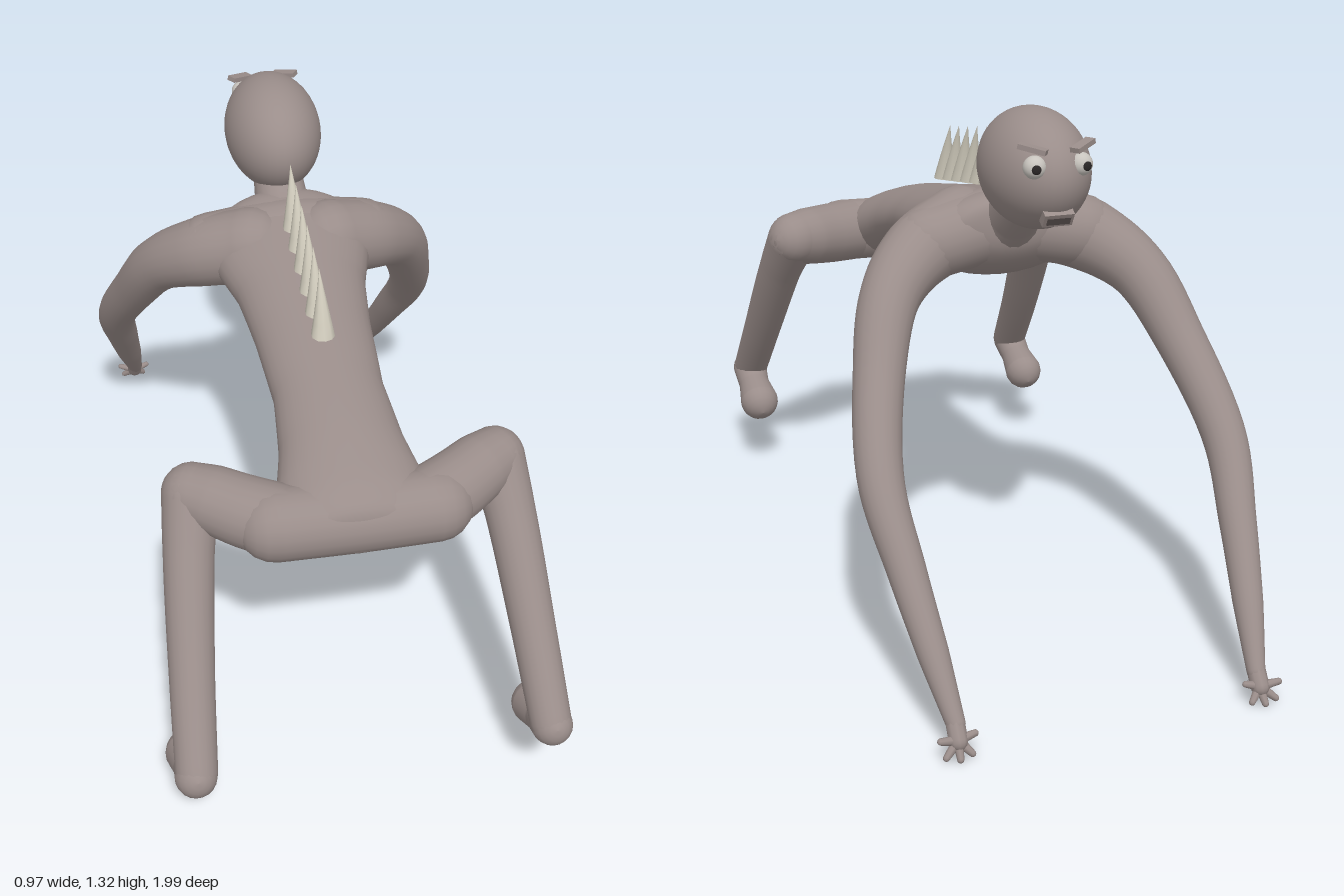
import * as THREE from 'three';

const material = (name, color) => new THREE.MeshStandardMaterial({ name, color });

// Skin through rings: each ring is { c: centre, u, v: radius vectors }, u x v points along the path
function loft(rings, n = 24) {
  const pos = [], idx = [];
  const p = new THREE.Vector3();
  rings.forEach(({ c, u, v }) => {
    for (let j = 0; j < n; j++) {
      const a = (j / n) * Math.PI * 2;
      p.copy(c).addScaledVector(u, Math.cos(a)).addScaledVector(v, Math.sin(a));
      pos.push(p.x, p.y, p.z);
    }
  });
  for (let i = 0; i < rings.length - 1; i++) {
    for (let j = 0; j < n; j++) {
      const a = i * n + j, b = i * n + ((j + 1) % n);
      idx.push(a, b, a + n, b, b + n, a + n);
    }
  }
  const g = new THREE.BufferGeometry();
  g.setAttribute('position', new THREE.Float32BufferAttribute(pos, 3));
  g.setIndex(idx);
  g.computeVertexNormals();
  return g;
}

// Round tapering limb through [x, y, z, radius] points, with domed ends
function limb(points, side = 1, steps = 32, n = 20) {
  const curve = new THREE.CatmullRomCurve3(points.map(([x, y, z]) => new THREE.Vector3(x * side, y, z)), false, 'centripetal');
  const last = points.length - 1;
  const ts = [], cs = [];
  for (let i = 0; i <= steps; i++) {
    cs.push(curve.getPoint(i / steps));
    ts.push(curve.getTangent(i / steps));
  }
  const rings = [];
  let normal = new THREE.Vector3(0.31, 0.2, 0.93);
  const add = (c, t, r) => {
    normal = normal.clone().addScaledVector(t, -normal.dot(t)).normalize();
    const v = new THREE.Vector3().crossVectors(t, normal);
    rings.push({ c, u: normal.clone().multiplyScalar(r), v: v.multiplyScalar(r) });
  };
  const dome = (c, t, r, from, to) => {
    for (let k = 0; k <= 5; k++) {
      const a = (from + (to - from) * (k / 5)) * Math.PI / 2;
      add(c.clone().addScaledVector(t, r * Math.sin(a)), t, Math.max(r * Math.cos(a), r * 0.002));
    }
  };
  dome(cs[0], ts[0], points[0][3], -1, 0);
  for (let i = 1; i < steps; i++) {
    const f = (i / steps) * last, k = Math.min(Math.floor(f), last - 1);
    add(cs[i], ts[i], THREE.MathUtils.lerp(points[k][3], points[k + 1][3], f - k));
  }
  dome(cs[steps], ts[steps], points[last][3], 0, 1);
  return loft(rings, n);
}

// Torso from elliptical sections [z, bottom, top, half width]
function torsoGeometry() {
  const sections = [
    [0.745, 0.74, 0.78, 0.03], [0.73, 0.70, 0.83, 0.14], [0.68, 0.675, 0.865, 0.18], [0.6, 0.685, 0.895, 0.175],
    [0.5, 0.73, 0.925, 0.15], [0.35, 0.785, 0.96, 0.135], [0.15, 0.82, 1.005, 0.147], [0, 0.84, 1.04, 0.165],
    [-0.1, 0.847, 1.062, 0.195], [-0.19, 0.855, 1.08, 0.215], [-0.25, 0.89, 1.085, 0.19], [-0.29, 0.94, 1.07, 0.13], [-0.305, 0.99, 1.02, 0.01],
  ];
  const shape = new THREE.CatmullRomCurve3(sections.map(([z, b, t]) => new THREE.Vector3(z, b, t)), false, 'centripetal');
  const rings = [];
  const steps = 48, last = sections.length - 1;
  for (let i = 0; i <= steps; i++) {
    const q = shape.getPoint(i / steps);
    const f = (i / steps) * last, k = Math.min(Math.floor(f), last - 1);
    const w = THREE.MathUtils.lerp(sections[k][3], sections[k + 1][3], f - k);
    rings.push({
      c: new THREE.Vector3(0, (q.y + q.z) / 2, q.x),
      u: new THREE.Vector3(w, 0, 0),
      v: new THREE.Vector3(0, -(q.z - q.y) / 2, 0),
    });
  }
  return loft(rings, 32);
}

export function createModel() {
  const model = new THREE.Group();
  model.name = 'crouchingCreature';
  const skin = material('skin', 0x9a8d8a);
  const bone = material('bone', 0xcfcabb);
  const eyeWhite = material('eyeWhite', 0xc8c4be);
  const dark = material('dark', 0x2a2626);
  const mouthGrey = material('mouthGrey', 0x5c5352);

  const add = (name, geometry, mat, parent = model) => {
    const mesh = new THREE.Mesh(geometry, mat);
    mesh.name = name;
    parent.add(mesh);
    return mesh;
  };

  // Body
  add('torso', torsoGeometry(), skin);
  add('neck', limb([[0, 0.98, -0.2, 0.09], [0, 1.035, -0.28, 0.07], [0, 1.1, -0.36, 0.062]]), skin);
  add('shoulders', limb([[-0.2, 0.96, -0.22, 0.09], [0, 0.99, -0.2, 0.095], [0.2, 0.96, -0.22, 0.09]]), skin);
  add('pelvis', limb([[-0.19, 0.763, 0.665, 0.088], [0, 0.76, 0.665, 0.088], [0.19, 0.763, 0.665, 0.088]]), skin);

  for (const side of [1, -1]) {
    const label = side > 0 ? 'left' : 'right';

    // Arm reaching to the ground
    add(label + 'Arm', limb([
      [0.1, 0.985, -0.17, 0.1], [0.22, 0.945, -0.225, 0.092], [0.32, 0.87, -0.31, 0.074], [0.385, 0.72, -0.43, 0.062],
      [0.432, 0.52, -0.6, 0.054], [0.412, 0.355, -0.73, 0.045], [0.387, 0.2, -0.85, 0.036], [0.366, 0.075, -0.945, 0.022],
    ], side, 48), skin);

    // Hand with splayed fingers
    const hand = new THREE.Group();
    hand.name = label + 'Hand';
    model.add(hand);
    add('palm', limb([[0.367, 0.075, -0.945, 0.022], [0.367, 0.045, -0.967, 0.022]], side, 4, 10), skin, hand);
    for (const [x, y, z] of [[0.329, 0.058, -0.968], [0.34, 0.018, -0.984], [0.37, 0.013, -0.992], [0.4, 0.018, -0.984], [0.41, 0.055, -0.975]]) {
      add('finger', limb([[0.367, 0.045, -0.965, 0.013], [x, y, z, 0.008]], side, 4, 8), skin, hand);
    }

    // Bent leg: thigh, shin and foot
    add(label + 'Thigh', limb([
      [0.16, 0.762, 0.665, 0.088], [0.25, 0.77, 0.615, 0.085], [0.32, 0.78, 0.57, 0.08], [0.362, 0.785, 0.545, 0.072],
    ], side), skin);
    add(label + 'Shin', limb([
      [0.365, 0.785, 0.545, 0.07], [0.385, 0.68, 0.625, 0.061], [0.41, 0.45, 0.798, 0.054], [0.425, 0.275, 0.938, 0.05],
    ], side), skin);
    add(label + 'Foot', limb([
      [0.427, 0.27, 0.943, 0.05], [0.428, 0.235, 0.88, 0.045], [0.428, 0.205, 0.81, 0.056],
    ], side), skin);
  }

  // Back spikes leaning towards the head
  for (let i = 0; i < 6; i++) {
    const height = 0.155;
    const g = new THREE.ConeGeometry(0.029, height, 10, 5);
    g.translate(0, height / 2, 0);
    const p = g.attributes.position;
    for (let k = 0; k < p.count; k++) {
      const t = p.getY(k) / height;
      p.setZ(k, p.getZ(k) - 0.035 * t - 0.017 * t * t);
    }
    g.computeVertexNormals();
    add('backSpike', g, bone).position.set(0, 0.995 + i * 0.0145, 0.273 - i * 0.075);
  }

  // Head, with its face towards -z
  const head = new THREE.Group();
  head.name = 'headGroup';
  head.position.set(0, 1.18, -0.415);
  model.add(head);
  add('head', new THREE.SphereGeometry(1, 40, 28), skin, head).scale.set(0.125, 0.142, 0.19);

  for (const side of [1, -1]) {
    const eye = add('eye', new THREE.SphereGeometry(0.027, 20, 14), eyeWhite, head);
    eye.position.set(side * 0.056, 0.038, -0.157);
    const pupil = add('pupil', new THREE.SphereGeometry(0.011, 14, 10), dark, head);
    pupil.scale.z = 0.4;
    pupil.position.set(side * 0.061, 0.038, -0.184);
    pupil.rotation.y = -side * 0.2;
    const brow = add('brow', new THREE.BoxGeometry(0.066, 0.012, 0.026), skin, head);
    brow.position.set(side * 0.06, 0.08, -0.155);
    brow.rotation.set(0, -side * 0.6, side * 0.2);
  }

  // Mouth
  const mouth = new THREE.Group();
  mouth.name = 'mouthGroup';
  mouth.position.set(0, -0.082, -0.157);
  mouth.rotation.x = -0.55;
  model.getObjectByName('headGroup').add(mouth);
  add('lips', new THREE.BoxGeometry(0.072, 0.036, 0.022), skin, mouth);
  add('mouthOpening', new THREE.BoxGeometry(0.056, 0.02, 0.006), mouthGrey, mouth).position.z = -0.011;

  return model;
}
